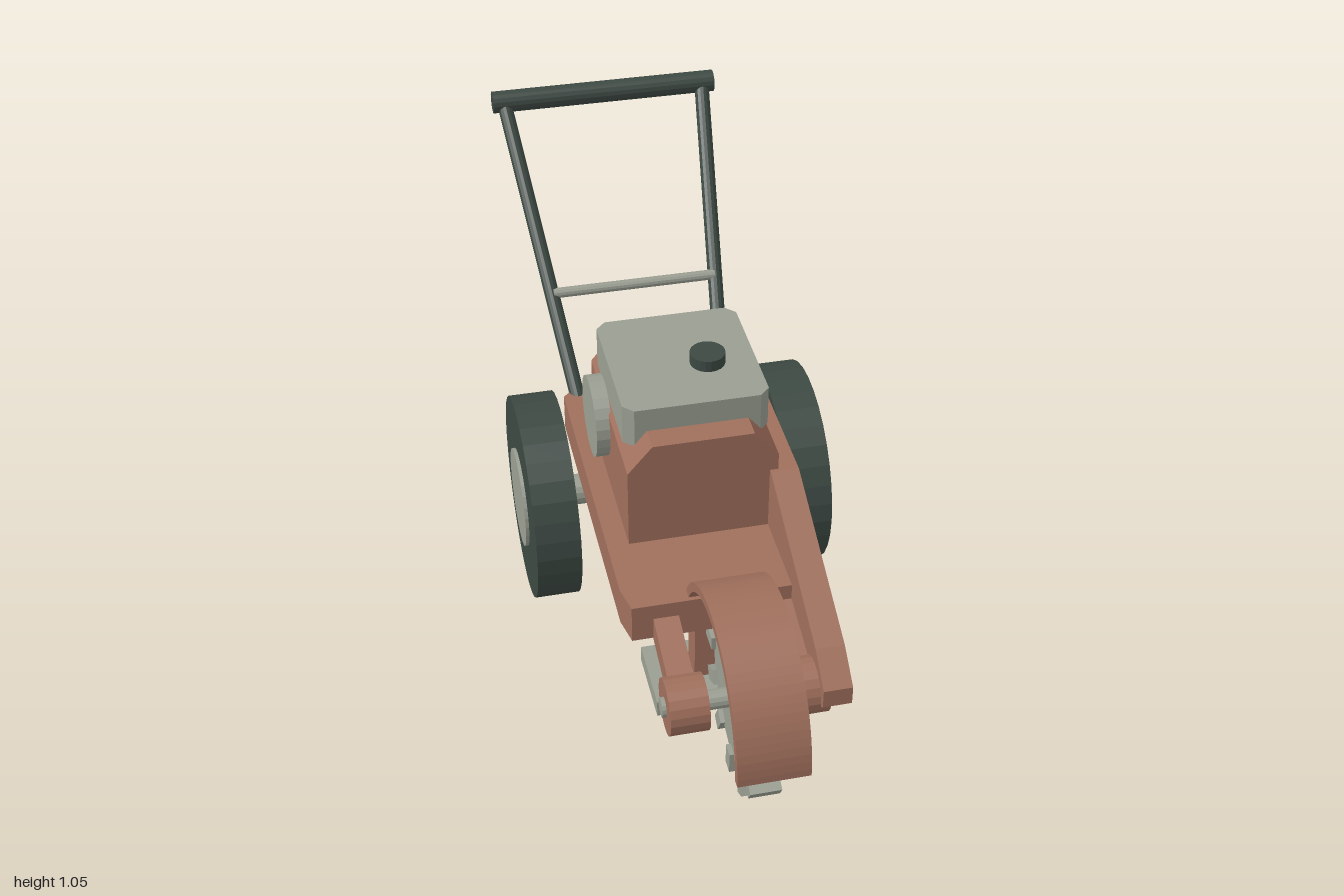
import * as THREE from 'three';

const mat = (name, color) => {
  const m = new THREE.MeshStandardMaterial({ color, flatShading: true });
  m.name = name;
  return m;
};

export function createModel() {
  const rust = mat('rust paint', 0xa06f5c);
  const dark = mat('dark rubber', 0x3d4943);
  const grey = mat('grey metal', 0x9a9e92);
  const model = new THREE.Group();
  model.name = 'stump grinder';

  const add = (name, geo, material, x = 0, y = 0, z = 0) => {
    const m = new THREE.Mesh(geo, material);
    m.name = name;
    m.position.set(x, y, z);
    model.add(m);
    return m;
  };
  const box = (name, material, w, h, d, x, y, z) =>
    add(name, new THREE.BoxGeometry(w, h, d), material, x, y, z);
  // cylinder lying along x
  const disc = (name, material, r, x0, x1, y, z, sides = 24) =>
    add(name, new THREE.CylinderGeometry(r, r, x1 - x0, sides).rotateZ(Math.PI / 2), material, (x0 + x1) / 2, y, z);
  // round bar between two points
  const bar = (name, material, a, b, r) => {
    const p = new THREE.Vector3(...a), q = new THREE.Vector3(...b);
    const m = add(name, new THREE.CylinderGeometry(r, r, p.distanceTo(q), 14), material);
    m.position.copy(p).add(q).multiplyScalar(0.5);
    m.quaternion.setFromUnitVectors(new THREE.Vector3(0, 1, 0), q.sub(p).normalize());
    return m;
  };
  const extrude = (points, depth) => new THREE.ExtrudeGeometry(
    new THREE.Shape(points.map(p => new THREE.Vector2(...p))), { depth, bevelEnabled: false });
  // (z, y) profile stretched from x0 to x1
  const sideProfile = (points, x0, x1) => extrude(points, x1 - x0).rotateY(-Math.PI / 2).translate(x1, 0, 0);
  // (x, z) outline stretched from y0 to y1
  const plan = (points, y0, y1) =>
    extrude(points.map(([x, z]) => [x, -z]), y1 - y0).rotateX(-Math.PI / 2).translate(0, y0, 0);

  // Chassis deck with cut corners
  add('deck', plan([[-0.225, 0.52], [0.225, 0.52], [0.24, 0.45], [0.24, -0.34],
    [0.19, -0.39], [-0.19, -0.39], [-0.24, -0.34], [-0.24, 0.45]], 0.35, 0.453), rust);

  // Engine housing, tank, filler cap and recoil starter
  add('engineHousing', extrude([[-0.186, 0.45], [0.186, 0.45], [0.186, 0.67], [0.125, 0.743],
    [-0.125, 0.743], [-0.186, 0.67]], 0.48), rust, 0, 0, -0.19);
  add('fuelTank', plan([[-0.155, 0.226], [0.155, 0.226], [0.18, 0.2], [0.18, -0.13],
    [0.155, -0.156], [-0.155, -0.156], [-0.18, -0.13], [-0.18, 0.2]], 0.7, 0.806), grey);
  add('fuelCap', new THREE.CylinderGeometry(0.044, 0.044, 0.04, 20), dark, 0.06, 0.816, 0.065);
  disc('recoilStarter', grey, 0.105, -0.22, -0.18, 0.61, -0.036);

  // Belt guard
  add('beltGuard', sideProfile([[0.81, 0.38], [0.73, 0.44], [0.3, 0.625], [-0.06, 0.625],
    [-0.11, 0.54], [-0.06, 0.46], [0.19, 0.455], [0.53, 0.335], [0.69, 0.275],
    [0.77, 0.295], [0.81, 0.33]], 0.165, 0.235), rust);

  // Wheels, axle, fork arms and handle sides
  const cy = 0.327, cz = 0.727;
  for (const s of [-1, 1]) {
    const side = s > 0 ? 'left' : 'right';
    disc(side + 'Tyre', dark, 0.272, s * 0.333 - 0.058, s * 0.333 + 0.058, 0.272, -0.165, 32);
    disc(side + 'Hub', grey, 0.132, s * 0.335 - 0.065, s * 0.335 + 0.065, 0.272, -0.165, 28);
    box(side + 'AxleBracket', rust, 0.07, 0.13, 0.08, s * 0.165, 0.305, -0.165);
    disc(side + 'Bearing', rust, 0.069, s * 0.143 - 0.047, s * 0.143 + 0.047, cy, cz, 20);
    add(side + 'ForkArm', sideProfile([[0.45, 0.36], [0.72, 0.295], [0.72, 0.355], [0.45, 0.43]],
      s * 0.142 - 0.031, s * 0.142 + 0.031), rust);
    bar(side + 'HandleBar', dark, [s * 0.2, 0.432, -0.34], [s * 0.28, 1.018, -0.968], 0.02);
  }
  disc('axle', grey, 0.041, -0.28, 0.28, 0.272, -0.165, 16);
  disc('handleGrip', dark, 0.03, -0.312, 0.312, 1.02, -0.97, 16);
  disc('handleCrossbar', grey, 0.014, -0.225, 0.225, 0.645, -0.556, 12);

  // Cutting wheel with twelve teeth
  disc('cutterShaft', grey, 0.024, -0.2, 0.2, cy, cz, 14);
  disc('cutterDisc', grey, 0.2, -0.026, 0.026, cy, cz, 32);
  for (let i = 0; i < 12; i++) {
    const a = i * Math.PI / 6;
    const tooth = box('cutterTooth', grey, 0.075, 0.058, 0.036,
      0, cy + Math.cos(a) * 0.208, cz + Math.sin(a) * 0.208);
    tooth.rotation.x = a;
  }

  // Curved fender over the cutting wheel
  const arc = new THREE.Shape();
  const end = THREE.MathUtils.degToRad(156);
  arc.absarc(0, 0, 0.275, 0, end, false);
  arc.absarc(0, 0, 0.252, end, 0, true);
  add('fender', new THREE.ExtrudeGeometry(arc, { depth: 0.17, bevelEnabled: false, curveSegments: 18 })
    .rotateY(-Math.PI / 2).translate(0.085, 0, 0), rust, 0, cy, cz);

  // Support stand
  box('standPost', rust, 0.075, 0.34, 0.075, 0, 0.21, 0.335);
  box('standFoot', grey, 0.3, 0.047, 0.205, 0, 0.0235, 0.34);

  return model;
}
